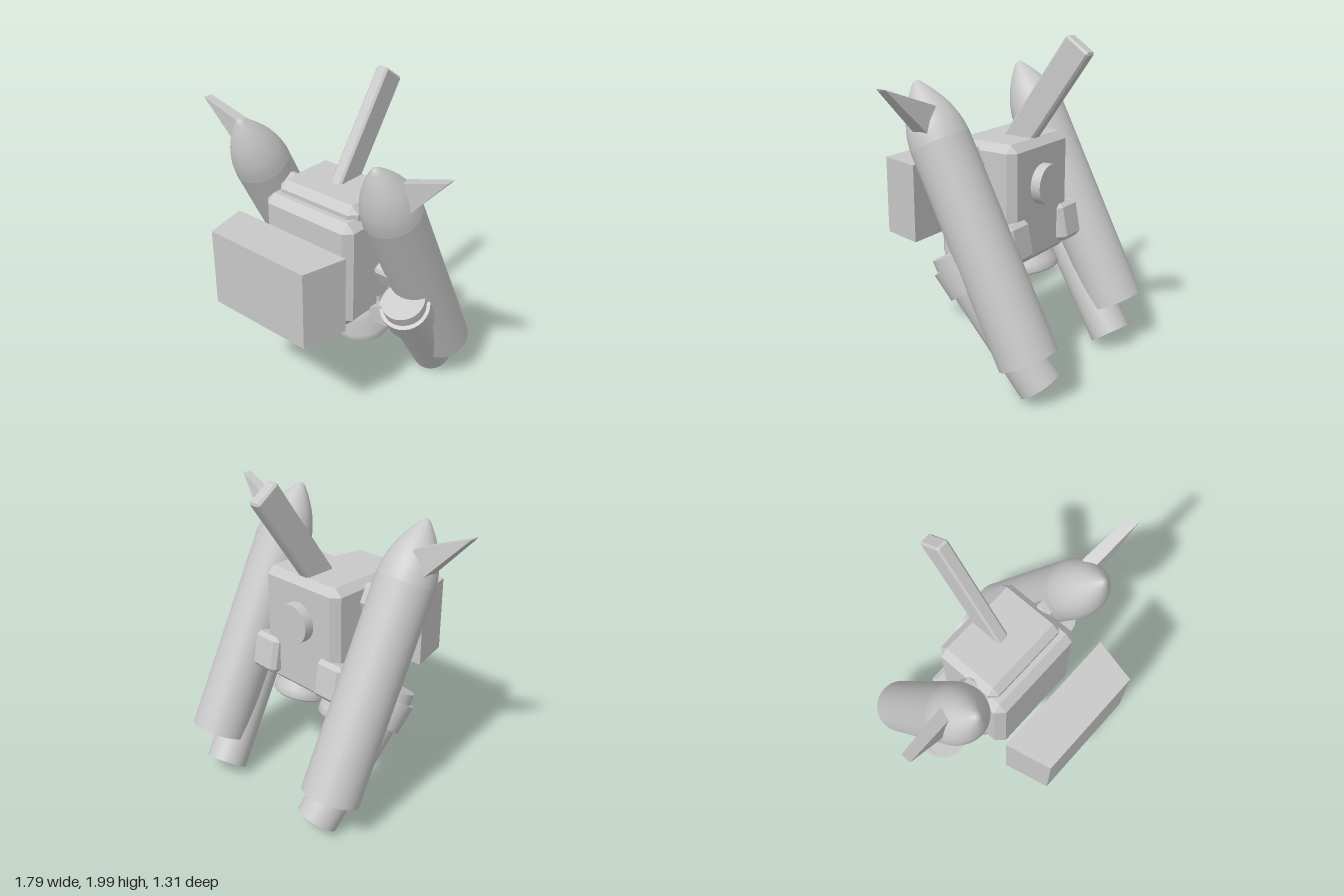
import * as THREE from 'three';
import { ConvexGeometry } from 'three/addons/geometries/ConvexGeometry.js';

const V = (x, y, z) => new THREE.Vector3(x, y, z);
const gray = new THREE.MeshStandardMaterial({ color: 0xc8c8c8 });
gray.name = 'light gray';

function add(parent, name, geometry, x = 0, y = 0, z = 0, tilt = 0) {
  const mesh = new THREE.Mesh(geometry, gray);
  mesh.name = name;
  mesh.position.set(x, y, z);
  mesh.rotation.x = tilt;
  parent.add(mesh);
  return mesh;
}

// Box with every edge and corner cut by c
function chamferBox(w, h, d, c) {
  const points = [];
  for (const sx of [-1, 1]) for (const sy of [-1, 1]) for (const sz of [-1, 1]) {
    const x = w / 2, y = h / 2, z = d / 2;
    points.push(
      V(sx * x, sy * (y - c), sz * (z - c)),
      V(sx * (x - c), sy * y, sz * (z - c)),
      V(sx * (x - c), sy * (y - c), sz * z));
  }
  return new ConvexGeometry(points);
}

// Cylinder or cone between two points
function rod(parent, name, a, b, ra, rb = ra, sides = 32) {
  const dir = b.clone().sub(a);
  const mesh = add(parent, name, new THREE.CylinderGeometry(rb, ra, dir.length(), sides));
  mesh.position.copy(a).lerp(b, 0.5);
  mesh.quaternion.setFromUnitVectors(V(0, 1, 0), dir.normalize());
  return mesh;
}

// Mirror a set of x,y,z points to the given side
const hull = (s, points) => new ConvexGeometry(points.map(([x, y, z]) => V(s * x, y, z)));

function createModel() {
  const model = new THREE.Group();
  model.name = 'jetPack';
  const lean = 0.477;

  // Central pack
  add(model, 'packRear', chamferBox(0.6, 0.74, 0.44, 0.045), 0, 1.03, -0.03);
  add(model, 'packFront', chamferBox(0.67, 0.685, 0.32, 0.05), 0, 0.987, 0.112);
  rod(model, 'rearHatch', V(0, 1.13, -0.2), V(0, 1.13, -0.312), 0.122);

  // Slanted mast
  add(model, 'mast', chamferBox(0.08, 0.82, 0.172, 0.012), 0, 1.617, -0.255, -0.607);

  // Tapered block floating in front
  const block = [];
  for (const y of [0.75, 1.23]) for (const s of [-1, 1]) {
    block.push(V(s * 0.35, y, 0.66), V(s * 0.415, y, 0.385));
  }
  add(model, 'frontBlock', new ConvexGeometry(block));

  for (const s of [-1, 1]) {
    const side = new THREE.Group();
    side.name = s > 0 ? 'leftSide' : 'rightSide';
    model.add(side);

    // Booster body and ogive nose
    const booster = new THREE.Group();
    booster.name = 'booster';
    booster.position.set(s * 0.5, 0.27, -0.495);
    booster.rotation.x = lean;
    side.add(booster);
    add(booster, 'boosterTube', new THREE.CylinderGeometry(0.175, 0.175, 1.3, 40), 0, 0.65, 0);
    const nose = new THREE.SplineCurve([
      [0.175, 0], [0.162, 0.09], [0.128, 0.19], [0.075, 0.285], [0.025, 0.352],
    ].map(([x, y]) => new THREE.Vector2(x, y))).getPoints(14);
    nose.push(new THREE.Vector2(0.012, 0.362), new THREE.Vector2(0, 0.364));
    add(booster, 'boosterNose', new THREE.LatheGeometry(nose, 40), 0, 1.3, 0);

    // Nose fin
    add(side, 'noseFin', hull(s, [
      [0.895, 1.762, 0.185], [0.895, 1.762, 0.125], [0.885, 1.745, 0.18],
      [0.57, 1.64, 0.15], [0.57, 1.64, 0.07],
      [0.65, 1.49, 0.155], [0.65, 1.5, 0.06], [0.55, 1.52, 0.1],
    ]));

    // Lower thruster tube with collar and cap
    const bottom = V(s * 0.415, 0.078, -0.52), top = V(s * 0.525, 0.76, -0.025);
    const at = (t) => bottom.clone().lerp(top, t);
    rod(side, 'thrusterTube', bottom, at(0.95), 0.128);
    rod(side, 'thrusterCollar', at(0.8), top, 0.153);
    rod(side, 'thrusterCap', at(0.98), V(s * 0.525, 0.805, -0.005), 0.132);
    add(side, 'collarArm', hull(s, [
      [0.32, 0.7, 0.07], [0.32, 0.7, -0.02], [0.42, 0.745, 0.05], [0.42, 0.745, -0.03],
      [0.35, 0.61, 0.06], [0.35, 0.61, -0.02], [0.52, 0.6, 0.02], [0.52, 0.6, -0.06],
    ]));

    // Brackets joining booster and pack
    add(side, 'lowerBracket', chamferBox(0.2, 0.15, 0.2, 0.02), s * 0.43, 0.95, -0.07, lean);
    add(side, 'upperBracket', chamferBox(0.1, 0.15, 0.11, 0.025), s * 0.315, 1.3, 0.02, lean);
    add(side, 'rearBracket', chamferBox(0.2, 0.23, 0.17, 0.025), s * 0.265, 0.83, -0.215, lean * 0.4);

    // Small spike on the booster
    rod(side, 'spike', V(s * 0.58, 0.97, 0.0), V(s * 0.605, 1.07, 0.05), 0.03, 0.001, 12);

    // Exhaust bell
    const bell = [[0, 0], [0.165, 0], [0.182, 0.015], [0.175, 0.06], [0.145, 0.15], [0.11, 0.26], [0, 0.26]]
      .map(([x, y]) => new THREE.Vector2(x, y));
    add(side, 'exhaustBell', new THREE.LatheGeometry(bell, 32), s * 0.2, 0.48, -0.045, 0.27);
  }
  return model;
}

export { createModel };
